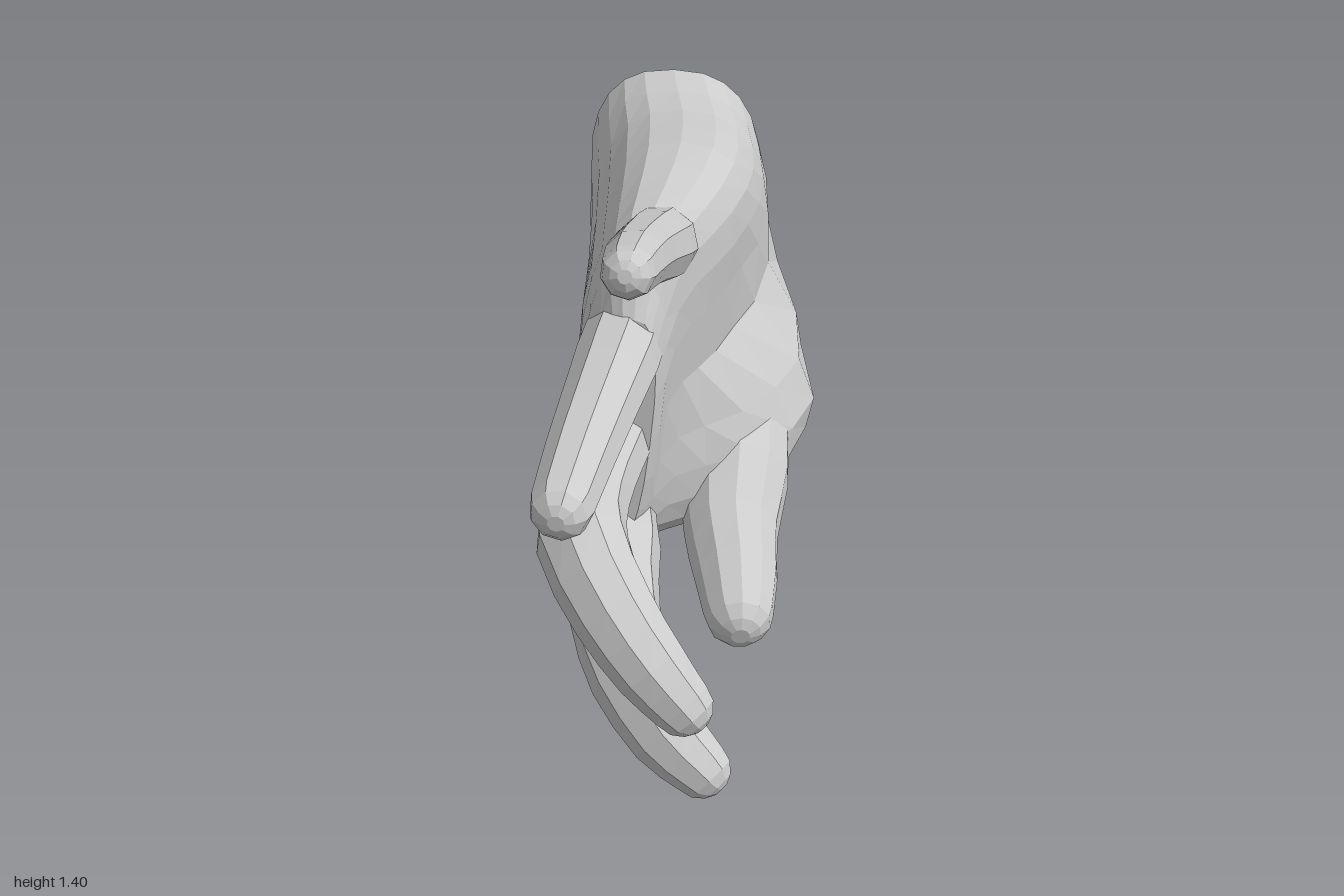
import * as THREE from 'three';

const material = new THREE.MeshStandardMaterial({ color: 0xcccccc, flatShading: true, side: THREE.DoubleSide });

// Skin a list of equal-sized point rings; the last ring is closed with a fan.
function loft(name, rings) {
  const n = rings[0].length, last = rings.length - 1;
  const positions = [], index = [];
  rings.forEach(ring => ring.forEach(p => positions.push(p.x, p.y, p.z)));
  for (let i = 0; i < last; i++) {
    for (let j = 0; j < n; j++) {
      const a = i * n + j, b = i * n + (j + 1) % n;
      index.push(a, b, b + n, a, b + n, a + n);
    }
  }
  const centre = rings[last].reduce((s, p) => s.add(p), new THREE.Vector3()).divideScalar(n);
  positions.push(centre.x, centre.y, centre.z);
  for (let j = 0; j < n; j++) index.push(last * n + j, last * n + (j + 1) % n, (last + 1) * n);
  const geometry = new THREE.BufferGeometry();
  geometry.setAttribute('position', new THREE.Float32BufferAttribute(positions, 3));
  geometry.setIndex(index);
  geometry.computeVertexNormals();
  const mesh = new THREE.Mesh(geometry, material);
  mesh.name = name;
  return mesh;
}

// Tapered digit through points [x, y, z, radius] with a rounded tip.
function digit(name, points, sides = 9) {
  const curve = new THREE.CatmullRomCurve3(points.map(p => new THREE.Vector3(p[0], p[1], p[2])));
  const ref = new THREE.Vector3(1, 1, 0);
  const spans = points.length - 1, steps = spans * 2, rings = [];
  const addRing = (c, t, r) => {
    const u = new THREE.Vector3().crossVectors(ref, t).normalize();
    const v = new THREE.Vector3().crossVectors(t, u);
    rings.push(Array.from({ length: sides }, (_, j) => {
      const a = j / sides * Math.PI * 2;
      return c.clone().addScaledVector(u, r * Math.cos(a)).addScaledVector(v, r * Math.sin(a));
    }));
  };
  for (let i = 0; i <= steps; i++) {
    const f = i / steps * spans, k = Math.min(Math.floor(f), spans - 1);
    addRing(curve.getPoint(i / steps), curve.getTangent(i / steps),
      THREE.MathUtils.lerp(points[k][3], points[k + 1][3], f - k));
  }
  const tip = curve.getPoint(1), dir = curve.getTangent(1), r = points[spans][3];
  for (const a of [0.5, 0.95, 1.3]) {
    addRing(tip.clone().addScaledVector(dir, r * Math.sin(a)), dir, r * Math.cos(a));
  }
  return loft(name, rings);
}

// Palm cross-section: squarish oval, leaning by slope, hollowed on the palm
// side and swollen towards the bottom for the base of the thumb.
function palmRing([z, bottom, top, back, front, slope, hollow, thumbBase, tilt], sides = 24) {
  const mid = (top + bottom) / 2, half = (top - bottom) / 2;
  const soft = v => Math.sign(v) * Math.pow(Math.abs(v), 0.8);
  return Array.from({ length: sides }, (_, j) => {
    const a = j / sides * Math.PI * 2;
    const c = soft(Math.cos(a)), s = soft(Math.sin(a));
    const dent = hollow * Math.max(0, c) * (1 - s * s) ** 2;
    const swell = thumbBase * Math.sin(2.2 * Math.max(0, -s)) * (0.6 + 0.4 * c);
    return new THREE.Vector3(
      (back + front) / 2 + c * (front - back) / 2 + slope * s * half - dent + swell,
      mid + s * half, z + tilt * s * half);
  });
}

export function createModel() {
  const hand = new THREE.Group();
  hand.name = 'hand';

  // Palm and open wrist: z, bottom, top, back, front, slope, hollow, thumb base, tilt
  hand.add(loft('palm', [
    [-0.945, 0.62, 1.26, -0.31, 0.16, 0, 0, 0, 0.17],
    [-0.83, 0.48, 1.24, -0.30, 0.19, 0, 0, 0.05, 0.12],
    [-0.68, 0.36, 1.235, -0.28, 0.22, 0, 0.02, 0.12, 0.06],
    [-0.5, 0.28, 1.25, -0.265, 0.235, 0, 0.06, 0.17, 0],
    [-0.36, 0.25, 1.26, -0.255, 0.22, 0.02, 0.09, 0.15, 0],
    [-0.22, 0.25, 1.255, -0.25, 0.175, 0.05, 0.08, 0.1, 0],
    [-0.1, 0.28, 1.245, -0.245, 0.12, 0.08, 0.06, 0.03, 0],
    [0, 0.31, 1.235, -0.235, 0.07, 0.1, 0.04, 0, 0],
    [0.1, 0.31, 1.2, -0.225, 0.02, 0.12, 0.02, 0, 0],
    [0.15, 0.33, 1.11, -0.21, -0.01, 0.12, 0, 0, 0],
    [0.2, 0.38, 1.03, -0.18, -0.03, 0.12, 0, 0, 0],
  ].map(row => palmRing(row))));

  // Fingers, from the top of the hand down
  hand.add(digit('littleFinger', [
    [-0.03, 1.1, -0.12, 0.08], [-0.02, 1.15, 0.02, 0.09], [-0.025, 1.195, 0.15, 0.088],
    [-0.03, 1.255, 0.32, 0.078], [-0.03, 1.315, 0.5, 0.071], [-0.03, 1.348, 0.63, 0.061],
  ]));
  hand.add(digit('ringFinger', [
    [-0.1, 0.935, 0.1, 0.1], [-0.105, 0.94, 0.25, 0.1], [-0.115, 0.95, 0.48, 0.09],
    [-0.13, 0.945, 0.72, 0.08], [-0.14, 0.94, 0.93, 0.07],
  ]));
  hand.add(digit('middleFinger', [
    [-0.12, 0.69, 0.1, 0.1], [-0.135, 0.685, 0.25, 0.097], [-0.155, 0.67, 0.42, 0.1],
    [-0.15, 0.64, 0.56, 0.108], [-0.06, 0.53, 0.69, 0.098], [0.03, 0.43, 0.755, 0.087],
    [0.1, 0.355, 0.78, 0.072],
  ]));
  hand.add(digit('indexFinger', [
    [-0.12, 0.45, 0, 0.08], [-0.12, 0.4, 0.17, 0.112], [-0.1, 0.33, 0.37, 0.112],
    [-0.04, 0.24, 0.5, 0.108], [0.05, 0.14, 0.59, 0.093], [0.13, 0.073, 0.625, 0.073],
  ]));

  // Thumb, rising out of the fleshy base of the palm
  hand.add(digit('thumb', [
    [0.13, 0.51, -0.54, 0.09], [0.14, 0.45, -0.4, 0.14], [0.145, 0.38, -0.24, 0.145],
    [0.15, 0.31, -0.07, 0.122], [0.175, 0.285, 0.1, 0.106], [0.19, 0.255, 0.22, 0.088],
  ], 11));

  return hand;
}
